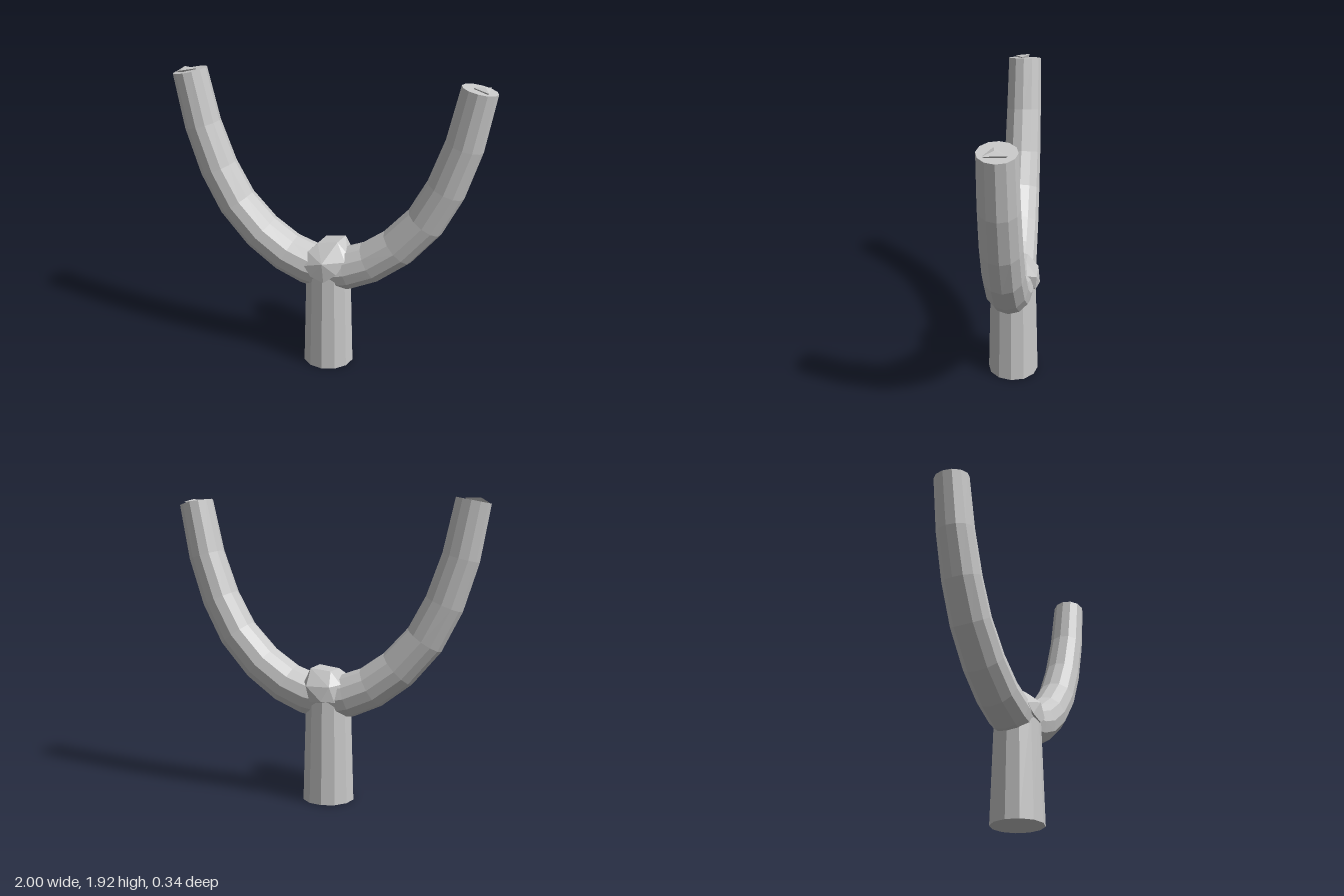
import * as THREE from 'three';
import { ConvexGeometry } from 'three/addons/geometries/ConvexGeometry.js';

// Centre line of one arm: x, y, radius
const ARM = [
  [0, 0.66, 0.14], [0.13, 0.685, 0.139], [0.28, 0.747, 0.135], [0.45, 0.872, 0.131],
  [0.615, 1.06, 0.126], [0.732, 1.285, 0.122], [0.826, 1.565, 0.116], [0.893, 1.902, 0.108],
];

// A capped cylinder whose rings are moved onto the centre line
function armGeometry() {
  const n = ARM.length - 1;
  const geo = new THREE.CylinderGeometry(1, 1, 1, 12, n);
  const pos = geo.attributes.position;
  for (let k = 0; k < pos.count; k++) {
    const i = Math.round((pos.getY(k) + 0.5) * n);
    const [x, y, r] = ARM[i];
    const a = ARM[Math.max(i - 1, 0)], b = ARM[Math.min(i + 1, n)];
    const t = new THREE.Vector2(b[0] - a[0], b[1] - a[1]).normalize();
    const s = pos.getX(k) * r;
    pos.setXYZ(k, x + t.y * s, y - t.x * s, pos.getZ(k) * r);
  }
  geo.computeVertexNormals();
  return geo;
}

const hull = (points) => new ConvexGeometry(points.map((p) => new THREE.Vector3(...p)));

export function createModel() {
  const model = new THREE.Group();
  model.name = 'forkedBranch';
  const bark = new THREE.MeshStandardMaterial({ color: 0xc8c8c8, flatShading: true });
  bark.name = 'pale grey wood';

  const add = (name, geo) => {
    const mesh = new THREE.Mesh(geo, bark);
    mesh.name = name;
    model.add(mesh);
    return mesh;
  };

  // Handle
  add('handle', new THREE.CylinderGeometry(0.146, 0.167, 0.7, 12)).position.y = 0.35;

  // Two mirrored arms
  const arm = armGeometry();
  add('leftArm', arm);
  add('rightArm', arm).rotation.y = Math.PI;

  // Rough knot at the fork
  add('knot', hull([
    [-0.06, 0.85, 0.04], [0.07, 0.87, 0.04], [-0.04, 0.85, -0.09], [0.09, 0.865, -0.09],
    [0.14, 0.81, 0.06], [0.14, 0.77, 0.11], [0.13, 0.78, -0.1],
    [-0.115, 0.8, 0.08], [-0.125, 0.72, 0.13], [-0.11, 0.77, -0.1],
    [0, 0.76, 0.16], [-0.08, 0.66, 0.146], [0.01, 0.63, 0.155], [0.09, 0.69, 0.145],
    [-0.05, 0.76, -0.16], [0.1, 0.76, -0.158], [0, 0.67, -0.174],
    [0.08, 0.66, -0.15], [-0.08, 0.66, -0.14],
  ]));

  // Low splinters on the cut tips
  add('rightTipSplinter', hull([
    [-0.985, 1.887, 0], [-0.94, 1.916, -0.03], [-0.84, 1.918, 0.015], [-0.93, 1.908, 0.065],
    [-0.92, 1.85, 0],
  ]));
  add('leftTipSplinter', hull([
    [0.855, 1.917, 0.02], [0.95, 1.905, -0.06], [0.95, 1.9, 0.07], [0.92, 1.922, 0.01],
    [0.9, 1.85, 0],
  ]));
  return model;
}
